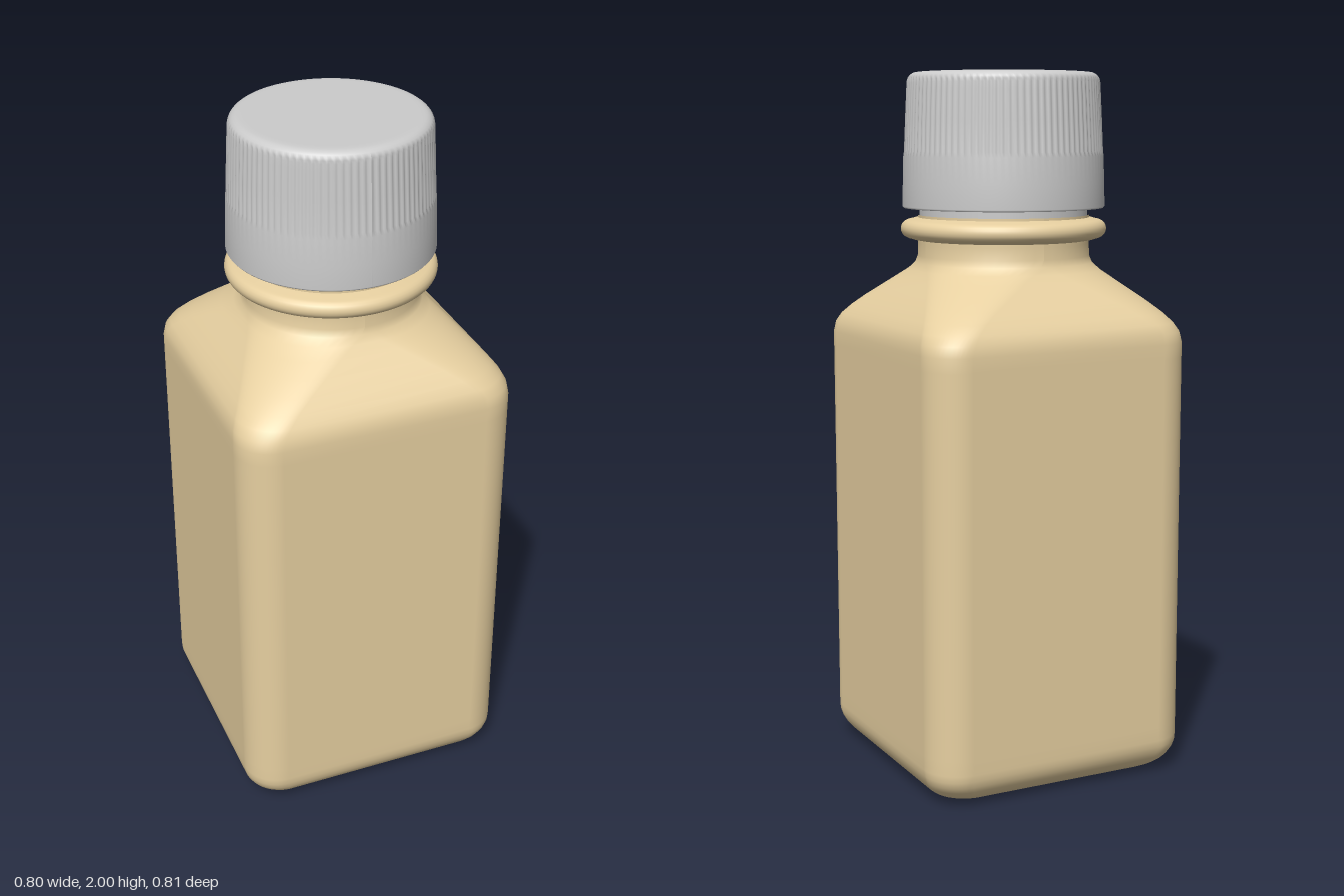
import * as THREE from 'three';

const TAN = new THREE.MeshStandardMaterial({ color: 0xe6cfa0 });
const GREY = new THREE.MeshStandardMaterial({ color: 0xcccccc });

function addMesh(group, name, geometry, material) {
  const mesh = new THREE.Mesh(geometry, material);
  mesh.name = name;
  group.add(mesh);
}

// One rounded-square loop; radius equal to half width gives a circle.
function roundedLoop([y, half, radius], steps = 14) {
  const loop = [];
  const halfZ = half + 0.007 * (half - radius) / half;
  for (let q = 0; q < 4; q++) {
    const sx = q === 0 || q === 3 ? 1 : -1;
    const sz = q < 2 ? 1 : -1;
    for (let i = 0; i <= steps; i++) {
      const a = (q + i / steps) * Math.PI / 2;
      loop.push(
        sx * (half - radius) + radius * Math.cos(a), y,
        sz * (halfZ - radius) + radius * Math.sin(a));
    }
  }
  return loop;
}

// Skin a stack of loops into one smooth surface.
function loft(rings) {
  const loops = rings.map((ring) => roundedLoop(ring));
  const n = loops[0].length / 3;
  const index = [];
  for (let i = 0; i < loops.length - 1; i++) {
    for (let j = 0; j < n; j++) {
      const a = i * n + j, b = i * n + (j + 1) % n;
      index.push(a, a + n, b, b, a + n, b + n);
    }
  }
  const geometry = new THREE.BufferGeometry();
  geometry.setAttribute('position', new THREE.Float32BufferAttribute(loops.flat(), 3));
  geometry.setIndex(index);
  geometry.computeVertexNormals();
  return geometry;
}

function lathe(points, segments) {
  return new THREE.LatheGeometry(points.map(([r, y]) => new THREE.Vector2(r, y)), segments);
}

function bottleBody() {
  // Underside: raised round centre inside a recessed square panel
  const rings = [
    [0.03, 0.001, 0.001], [0.03, 0.07, 0.07], [0.04, 0.085, 0.085],
    [0.04, 0.18, 0.06], [0.03, 0.205, 0.06], [0.006, 0.23, 0.065], [0, 0.25, 0.07],
  ];
  // Rounded bottom edge
  for (let i = 0; i <= 8; i++) {
    const a = i / 8 * Math.PI / 2;
    rings.push([0.1 - 0.1 * Math.cos(a), 0.3 + 0.1 * Math.sin(a), 0.08 + 0.025 * i / 8]);
  }
  // Straight walls, shoulder turning from square to round, then neck
  rings.push(
    [0.14, 0.4, 0.105], [1.21, 0.4, 0.105], [1.25, 0.4, 0.105], [1.28, 0.396, 0.11],
    [1.305, 0.384, 0.115], [1.33, 0.365, 0.125], [1.36, 0.339, 0.145], [1.39, 0.311, 0.17],
    [1.42, 0.283, 0.195], [1.445, 0.261, 0.22], [1.465, 0.25, 0.239],
    [1.485, 0.246, 0.246], [1.52, 0.245, 0.245], [1.6, 0.245, 0.245]);
  return loft(rings);
}

function neckRing() {
  const points = [[0.24, 1.528], [0.262, 1.532]];
  for (let i = 0; i <= 10; i++) {
    const a = -Math.PI / 2 + Math.PI * i / 10;
    points.push([0.268 + 0.026 * Math.cos(a), 1.561 + 0.026 * Math.sin(a)]);
  }
  points.push([0.255, 1.591], [0.236, 1.595]);
  return lathe(points, 96);
}

function ribbedCap() {
  const ribs = 90, segments = ribs * 4;
  const points = [
    [0.235, 1.632], [0.265, 1.63], [0.27, 1.622], [0.285, 1.62], [0.289, 1.625],
    [0.287, 1.69], [0.285, 1.765], [0.283, 1.78], [0.279, 1.87], [0.275, 1.95],
  ];
  // Rounded top edge and flat top
  for (let i = 0; i <= 6; i++) {
    const a = i / 6 * Math.PI / 2;
    points.push([0.244 + 0.03 * Math.cos(a), 1.969 + 0.03 * Math.sin(a)]);
  }
  points.push([0.23, 2], [0, 2]);
  const geometry = lathe(points, segments);
  // Press fine vertical grooves into the upper wall
  const p = geometry.attributes.position;
  for (let i = 0; i < p.count; i++) {
    const y = p.getY(i);
    if (y < 1.775 || y > 1.98) continue;
    const column = Math.floor(i / points.length) % 4;
    const s = 1 - [0, 0.008, 0.016, 0.008][column];
    p.setX(i, p.getX(i) * s);
    p.setZ(i, p.getZ(i) * s);
  }
  geometry.computeVertexNormals();
  return geometry;
}

export function createModel() {
  const bottle = new THREE.Group();
  bottle.name = 'bottle';
  addMesh(bottle, 'body', bottleBody(), TAN);
  addMesh(bottle, 'neckRing', neckRing(), TAN);
  // Narrow collar between neck ring and cap
  const collar = new THREE.CylinderGeometry(0.24, 0.24, 0.06, 96);
  collar.translate(0, 1.61, 0);
  addMesh(bottle, 'capCollar', collar, GREY);
  addMesh(bottle, 'cap', ribbedCap(), GREY);
  return bottle;
}
